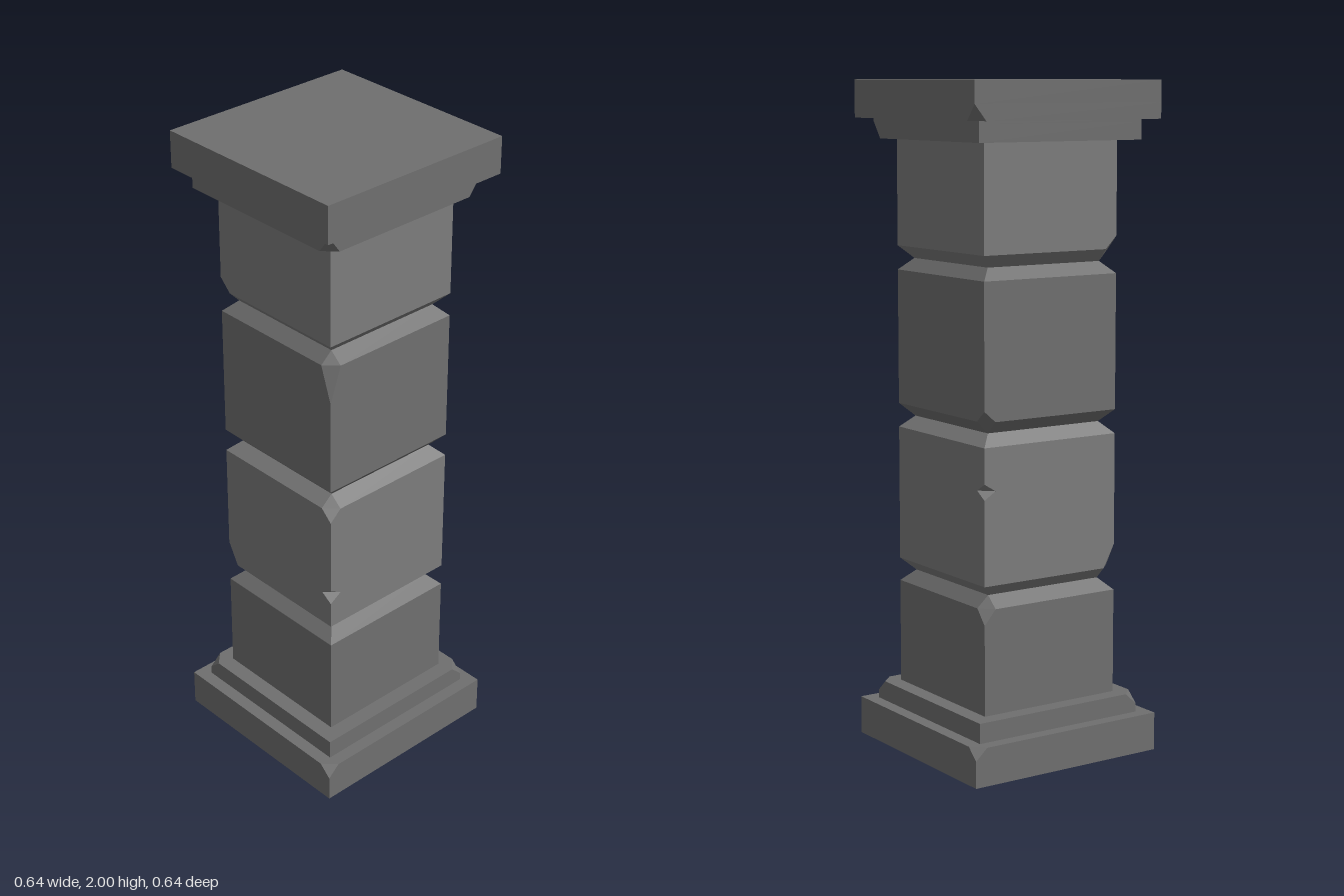
import * as THREE from 'three';

// Corner order, counterclockwise from above: front right, back right, back left, front left
const CORNERS = [[1, 1], [1, -1], [-1, -1], [-1, 1]];
const FR = 0, BR = 1, BL = 2, FL = 3;

// Square section of half width h; chips maps a corner to the size cut off it
function section([y, h, chips = {}]) {
  return CORNERS.flatMap(([sx, sz], k) => {
    const c = chips[k] ?? 0;
    const alongX = [sx * (h - c), y, sz * h];
    const alongZ = [sx * h, y, sz * (h - c)];
    return k % 2 ? [alongZ, alongX] : [alongX, alongZ];
  });
}

// Closed faceted solid through sections listed from bottom to top
function stone(name, levels, material) {
  const rings = levels.map(section);
  const pos = [];
  const tri = (a, b, c) => {
    const [A, B, C] = [a, b, c].map((p) => new THREE.Vector3(...p));
    if (B.sub(A).cross(C.sub(A)).length() > 1e-7) pos.push(...a, ...b, ...c);
  };
  for (let r = 0; r < rings.length - 1; r++) {
    const lo = rings[r], hi = rings[r + 1];
    for (let i = 0; i < 8; i++) {
      const j = (i + 1) % 8;
      tri(lo[i], lo[j], hi[j]);
      tri(lo[i], hi[j], hi[i]);
    }
  }
  const first = rings[0], last = rings[rings.length - 1];
  for (let i = 1; i < 7; i++) {
    tri(first[0], first[i + 1], first[i]);
    tri(last[0], last[i], last[i + 1]);
  }
  const geometry = new THREE.BufferGeometry();
  geometry.setAttribute('position', new THREE.Float32BufferAttribute(pos, 3));
  geometry.computeVertexNormals();
  const mesh = new THREE.Mesh(geometry, material);
  mesh.name = name;
  return mesh;
}

export function createModel() {
  const group = new THREE.Group();
  group.name = 'stonePillar';
  const dark = new THREE.MeshStandardMaterial({ color: 0x6f6f6f, flatShading: true });
  const light = new THREE.MeshStandardMaterial({ color: 0x7c7c7c, flatShading: true });

  const BASE = 0.322, STEP = 0.282, SHAFT = 0.232, GROOVE = 0.196;
  const C = 0.038; // usual chip size

  const parts = [
    // Base
    ['plinth', dark, [[0, BASE], [0.08, BASE], [0.115, BASE, { [FR]: C, [BL]: C }]]],
    ['lowerStep', dark, [[0.115, STEP], [0.14, STEP], [0.175, STEP, { [BR]: C, [FL]: C }]]],

    // Shaft blocks in alternating tones, bevelled where they meet in the grooves
    ['shaftBlock1', dark, [
      [0.175, SHAFT], [0.445, SHAFT], [0.49, SHAFT, { [BL]: C }], [0.525, GROOVE],
    ]],
    ['shaftBlock2', light, [
      [0.525, GROOVE], [0.56, SHAFT, { [FL]: C }], [0.63, SHAFT],
      [0.643, SHAFT], [0.668, SHAFT, { [FR]: C }], [0.69, SHAFT], // front notch
      [0.813, SHAFT], [0.837, SHAFT, { [BL]: C }], [0.86, SHAFT], // back notch
      [0.93, SHAFT], [0.965, SHAFT, { [FR]: C }], [1.0, GROOVE],
    ]],
    ['shaftBlock3', dark, [
      [1.0, GROOVE], [1.037, SHAFT, { [BL]: C }], [1.07, SHAFT],
      [1.33, SHAFT], [1.44, SHAFT, { [FR]: C }], [1.475, GROOVE],
    ]],
    ['shaftBlock4', light, [
      [1.475, GROOVE], [1.512, SHAFT, { [FL]: C }], [1.55, SHAFT], [1.828, SHAFT],
    ]],

    // Capital
    ['upperStep', dark, [[1.828, STEP, { [FR]: C, [BR]: C }], [1.88, STEP], [1.888, STEP]]],
    ['capSlab', dark, [[1.888, BASE, { [BL]: C }], [1.935, BASE], [2, BASE]]],
  ];

  for (const [name, material, levels] of parts) group.add(stone(name, levels, material));
  return group;
}
